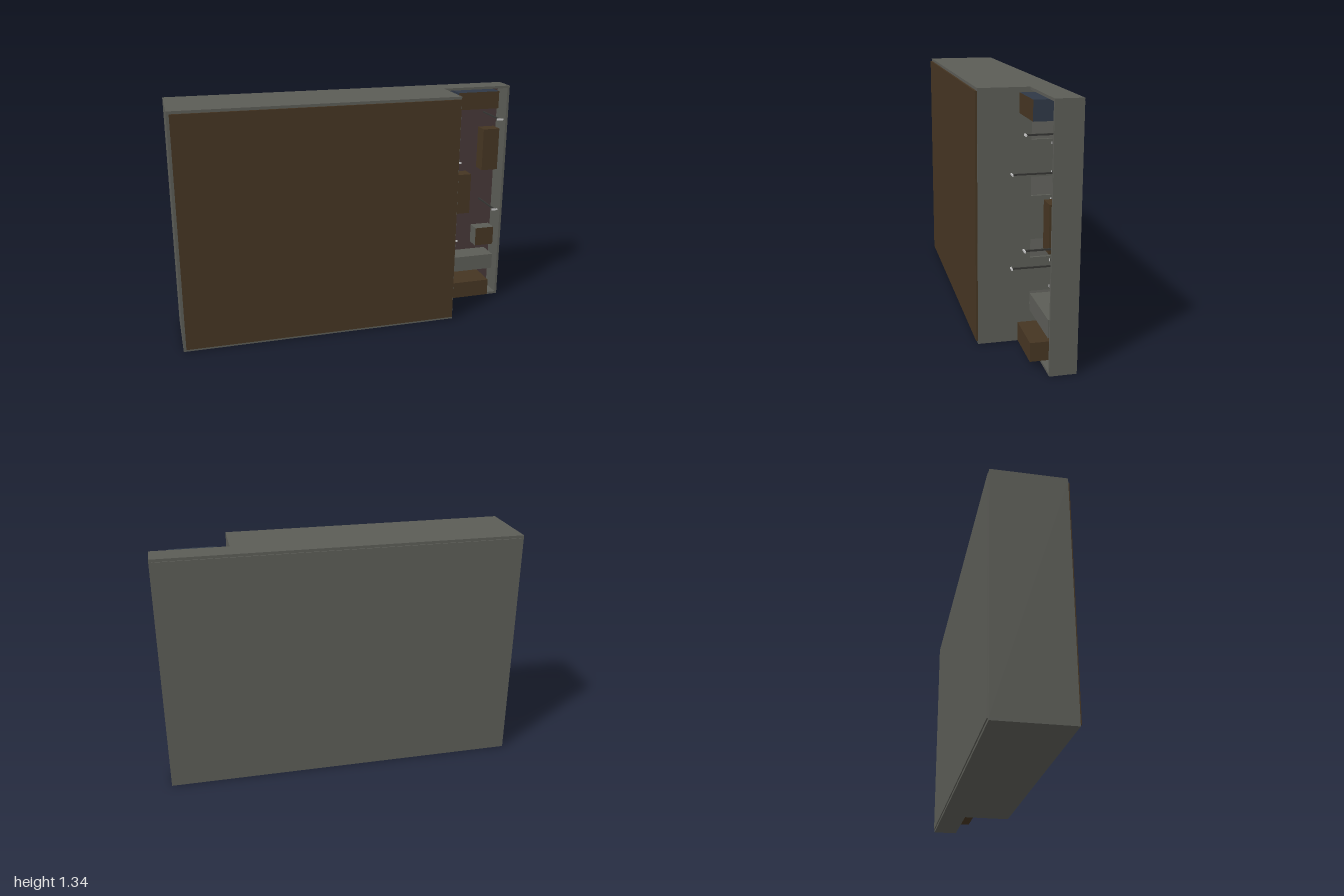
import * as THREE from 'three';

const mat = (name, color) => {
  const m = new THREE.MeshStandardMaterial({ color });
  m.name = name;
  return m;
};

export function createModel() {
  const grey = mat('casing grey', 0x5b5c56);
  const brown = mat('panel brown', 0x453522);
  const maroon = mat('board maroon', 0x463838);
  const blue = mat('component blue', 0x2f3846);
  const dark = mat('post dark', 0x343432);
  const white = mat('cap white', 0xc8c8c8);

  const model = new THREE.Group();
  model.name = 'cabinet';

  const H = 1.342, T = 0.014, NOTCH = 0.585, STEP = -0.065, FRONT = 0.2, BACK = -0.204;

  // box given by its min and max corners
  const box = (name, material, x0, x1, y0, y1, z0, z1) => {
    const mesh = new THREE.Mesh(new THREE.BoxGeometry(x1 - x0, y1 - y0, z1 - z0), material);
    mesh.position.set((x0 + x1) / 2, (y0 + y1) / 2, (z0 + z1) / 2);
    mesh.name = name;
    model.add(mesh);
    return mesh;
  };

  // L-shaped top and bottom plates (shape y is -z)
  const plan = new THREE.Shape([
    [-1, -FRONT], [NOTCH, -FRONT], [NOTCH, -STEP], [1, -STEP], [1, -BACK], [-1, -BACK],
  ].map(([x, y]) => new THREE.Vector2(x, y)));
  const plateGeo = new THREE.ExtrudeGeometry(plan, { depth: T, bevelEnabled: false }).rotateX(-Math.PI / 2);
  [['bottomPlate', 0], ['topPlate', H - T]].forEach(([name, y]) => {
    const plate = new THREE.Mesh(plateGeo, grey);
    plate.position.y = y;
    plate.name = name;
    model.add(plate);
  });

  // outer walls and panels
  box('rightWall', grey, -1, -1 + T, T, H - T, BACK, FRONT);
  box('leftWall', grey, 1 - T, 1, T, H - T, BACK, STEP);
  box('backWall', grey, -1 + T, 1 - T, T, H - T, BACK, BACK + 0.004);
  box('backPanel', grey, -0.985, 0.985, 0.015, H - 0.015, -0.21, BACK);
  box('frontWall', grey, -1 + T, NOTCH, T, H - T, FRONT - T, FRONT);
  box('frontPanel', brown, -0.985, 0.58, 0.015, H - 0.015, FRONT, 0.21);

  // dividing wall with four connector openings
  const slots = [[0.155, 0.295], [0.44, 0.58], [0.77, 0.91], [1.06, 1.195]];
  const rect = (Type, x0, x1, y0, y1) => new Type(
    [[x0, y0], [x1, y0], [x1, y1], [x0, y1]].map(([x, y]) => new THREE.Vector2(x, y)));
  const wall = rect(THREE.Shape, -FRONT + T, -BACK - 0.004, T, H - T);
  slots.forEach(([a, b]) => wall.holes.push(rect(THREE.Path, 0.075, 0.185, a + 0.02, b - 0.02)));
  const divider = new THREE.Mesh(
    new THREE.ExtrudeGeometry(wall, { depth: T, bevelEnabled: false }).rotateY(Math.PI / 2), grey);
  divider.position.x = NOTCH - T;
  divider.name = 'dividingWall';
  model.add(divider);

  // screws above and below each opening
  slots.flat().forEach((y) => {
    box('slotScrew', dark, NOTCH, 0.592, y - 0.005, y + 0.005, -0.195, -0.181);
    box('slotScrewHead', white, 0.58, 0.594, y - 0.006, y + 0.006, -0.181, -0.177);
  });

  // circuit board in the open bay
  box('board', maroon, NOTCH, 1 - T, T, H - T, -0.2, -0.194);

  // components: x0, x1, y0, y1, front z, side material, front material
  [
    ['topComponent', 0.65, 0.9, 1.225, 1.325, 0.005, blue, brown],
    ['tallComponent', 0.87, 0.972, 0.82, 1.075, -0.11, brown, brown],
    ['middleComponent', 0.7, 0.802, 0.55, 0.8, -0.11, brown, brown],
    ['smallComponent', 0.855, 0.975, 0.325, 0.44, -0.115, grey, brown],
    ['heatSink', 0.617, 0.955, 0.18, 0.275, -0.068, grey, grey],
    ['bottomComponent', 0.65, 0.9, 0.035, 0.135, 0.005, brown, brown],
  ].forEach(([name, x0, x1, y0, y1, z, side, front]) =>
    box(name, [side, side, side, side, front, side], x0, x1, y0, y1, -0.194, z));

  // thin standoff posts with flat caps
  [[0.9, 1.165], [0.65, 0.92], [0.9, 0.612], [0.65, 0.43]].forEach(([x, y]) => {
    box('post', dark, x - 0.004, x + 0.004, y - 0.004, y + 0.004, -0.194, 0.036);
    box('postCap', white, x - 0.018, x + 0.018, y - 0.005, y + 0.005, 0.036, 0.042);
  });

  return model;
}
